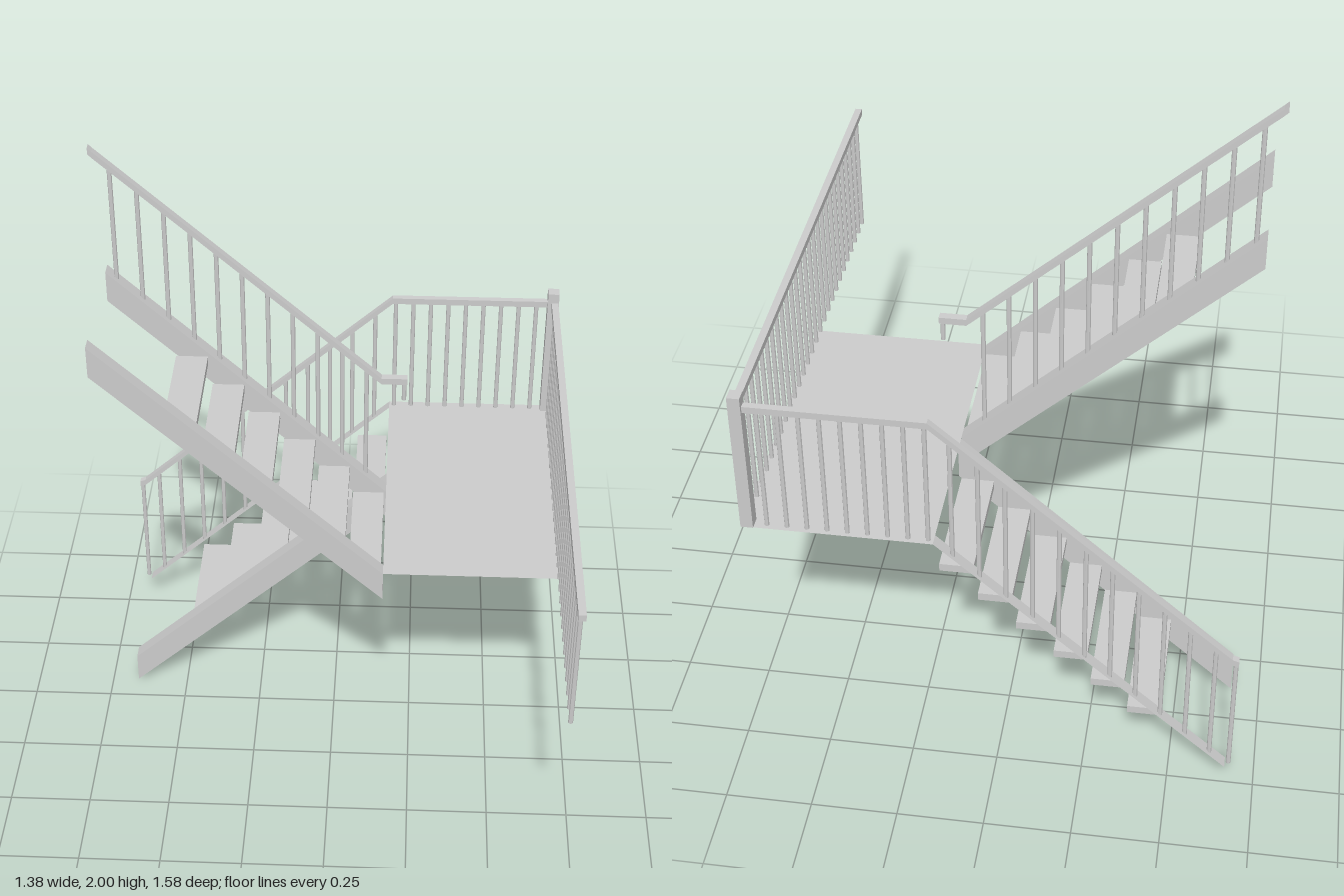
import * as THREE from 'three';

const material = new THREE.MeshStandardMaterial({ color: 0xcccccc, flatShading: true });
const sheetMaterial = new THREE.MeshStandardMaterial({ color: 0xcccccc, flatShading: true, side: THREE.DoubleSide });

// Flight slopes: top edge of the stringers at a given x
const lowerTop = x => 0.1 + (x + 0.665) * 0.909;
const upperTop = x => 0.85 + (0.16 - x) * 0.92;

export function createModel() {
  const model = new THREE.Group();

  const add = (name, geometry, x = 0, y = 0, z = 0, mat = material) => {
    const mesh = new THREE.Mesh(geometry, mat);
    mesh.name = name;
    mesh.position.set(x, y, z);
    model.add(mesh);
    return mesh;
  };

  const box = (name, x0, x1, y0, y1, z0, z1) =>
    add(name, new THREE.BoxGeometry(x1 - x0, y1 - y0, z1 - z0), (x0 + x1) / 2, (y0 + y1) / 2, (z0 + z1) / 2);

  // Bar following a top line in the xy plane, with a vertical drop and a z range
  const bar = (name, line, drop, z0, z1) => {
    const outline = [...line, ...line.slice().reverse().map(([x, y]) => [x, y - drop])];
    const shape = new THREE.Shape(outline.map(([x, y]) => new THREE.Vector2(x, y)));
    add(name, new THREE.ExtrudeGeometry(shape, { depth: z1 - z0, bevelEnabled: false }), 0, 0, z0);
  };

  const baluster = (name, x, y0, y1, z) =>
    add(name, new THREE.CylinderGeometry(0.0068, 0.0068, y1 - y0, 8), x, (y0 + y1) / 2, z);

  // Stringers
  const lowerLine = [[-0.665, lowerTop(-0.665)], [0.16, 0.85]];
  const upperLine = [[-0.665, upperTop(-0.665)], [0.16, 0.85]];
  bar('lowerInnerStringer', lowerLine, 0.1, -0.377, -0.33);
  bar('upperInnerStringer', upperLine, 0.095, -0.326, -0.28);
  bar('upperOuterStringer', upperLine, 0.095, 0.087, 0.13);

  // Thin sloping strip carrying the lower balusters
  const strip = new THREE.PlaneGeometry(Math.hypot(0.825, 0.75), 0.037);
  strip.rotateX(-Math.PI / 2).rotateZ(Math.atan2(0.75, 0.825));
  add('lowerOuterStrip', strip, -0.2525, 0.475, -0.766, sheetMaterial);

  // Treads of both flights
  for (let i = 0; i < 6; i++) {
    const x = -0.472 + i * 0.106;
    const yLower = 0.252 + i * 0.0956;
    const yUpper = 1.318 - i * 0.0968;
    box('lowerTread', x, x + 0.095, yLower - 0.012, yLower + 0.012, -0.743, -0.36);
    box('upperTread', x, x + 0.095, yUpper - 0.012, yUpper + 0.012, -0.28, 0.09);
  }

  // Landing
  const floor = new THREE.PlaneGeometry(0.53, 0.915).rotateX(-Math.PI / 2);
  add('landing', floor, 0.425, 0.85, -0.3275, sheetMaterial);

  // Corner post and level handrails
  box('cornerPost', 0.655, 0.69, 0.85, 1.292, -0.787, -0.75);
  box('sideHandrail', 0.667, 0.688, 1.24, 1.26, -0.75, 0.79);
  for (let i = 0; i < 27; i++) baluster('sideBaluster', 0.678, 0.85, 1.245, 0.745 - i * 0.056);
  for (let i = 0; i < 9; i++) baluster('backBaluster', 0.175 + i * 0.0557, 0.85, 1.245, -0.768);

  // Lower handrail running on into the back of the landing
  const lowerRail = x => 0.522 + (x + 0.665) * 0.889;
  bar('lowerHandrail', [[-0.683, 0.516], [-0.665, 0.522], [0.165, 1.26], [0.66, 1.26]], 0.02, -0.778, -0.758);
  baluster('lowerBaluster', -0.675, 0.105, 0.51, -0.768);
  for (let i = 0; i < 11; i++) {
    const x = -0.618 + i * 0.0728;
    baluster('lowerBaluster', x, lowerTop(x) - 0.005, lowerRail(x) - 0.01, -0.768);
  }

  // Upper handrail with a short level return and drop at its foot
  const upperRail = x => 1.26 + (0.14 - x) * 0.888;
  bar('upperHandrail', [[-0.692, 2.0], [-0.68, upperRail(-0.68)], [0.14, 1.26], [0.217, 1.26]], 0.02, -0.314, -0.29);
  baluster('upperRailDrop', 0.208, 1.18, 1.245, -0.302);
  for (let i = 0; i < 11; i++) {
    const x = -0.636 + i * 0.0731;
    baluster('upperBaluster', x, upperTop(x) - 0.005, upperRail(x) - 0.01, -0.302);
  }

  return model;
}
